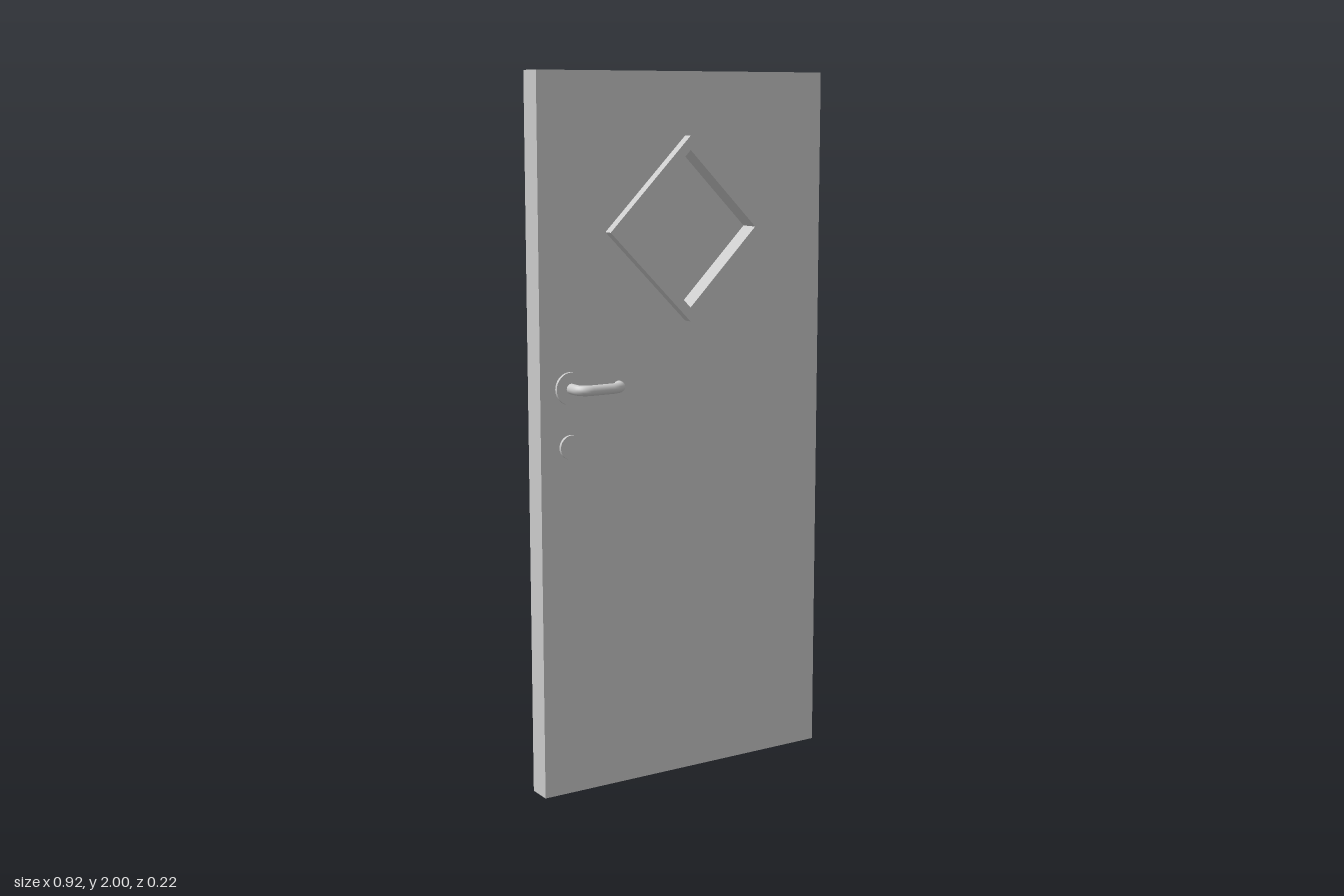
import * as THREE from 'three';

const MID = -0.0045;          // middle plane of the door leaf
const HALF = 0.035;           // half the leaf thickness
const WINDOW_Y = 1.57;
const LOCK_X = -0.371;
const mat = new THREE.MeshStandardMaterial({ color: 0xcccccc });

function add(parent, geometry, name) {
  const mesh = new THREE.Mesh(geometry, mat);
  mesh.name = name;
  parent.add(mesh);
  return mesh;
}

// Points of a diamond around the window centre
function diamond(r) {
  return [[0, -r], [r, 0], [0, r], [-r, 0]].map(([x, y]) => new THREE.Vector2(x, y + WINDOW_Y));
}

// Plate of a given thickness centred on the door's middle plane
function plate(points, depth, hole) {
  const shape = new THREE.Shape(points);
  if (hole) shape.holes.push(new THREE.Path(hole));
  return new THREE.ExtrudeGeometry(shape, { depth, bevelEnabled: false }).translate(0, 0, MID - depth / 2);
}

// Round disc standing on the door face of side s (1 front, -1 back)
function disc(radius, height, y, s) {
  return new THREE.CylinderGeometry(radius, radius, height, 32)
    .rotateX(Math.PI / 2)
    .translate(LOCK_X, y, MID + s * (HALF + height / 2));
}

// Lever: out of the rose, across, and curled back towards the door
function lever(s) {
  const group = new THREE.Group();
  group.name = s > 0 ? 'frontHandle' : 'backHandle';
  const y = 1.152, r = 0.0145;
  add(group, disc(0.045, 0.009, y, s), 'handleRose');
  const out = s * 0.0955, tipX = -0.2345, tipZ = s * 0.058;
  const p = (x, z) => new THREE.Vector3(x, y, z);
  const bend = (a, corner, b) => {
    const k = 0.552;
    return new THREE.CubicBezierCurve3(a, a.clone().lerp(corner, k), b.clone().lerp(corner, k), b);
  };
  const path = new THREE.CurvePath();
  const a = p(LOCK_X, s * 0.065), b = p(LOCK_X + 0.03, out);
  const c = p(tipX - 0.042, out), d = p(tipX, tipZ);
  path.add(new THREE.LineCurve3(p(LOCK_X, MID + s * HALF), a));
  path.add(bend(a, p(LOCK_X, out), b));
  path.add(new THREE.LineCurve3(b, c));
  path.add(bend(c, p(tipX, out), d));
  add(group, new THREE.TubeGeometry(path, 60, r, 16, false), 'leverBar');
  const cap = new THREE.CircleGeometry(r, 16);
  if (s > 0) cap.rotateY(Math.PI);
  add(group, cap.translate(tipX, y, tipZ), 'leverEnd');
  return group;
}

export function createModel() {
  const model = new THREE.Group();
  model.name = 'door';

  // Leaf with window opening
  const w = 0.462;
  const outline = [[-w, 0], [w, 0], [w, 2], [-w, 2]].map(([x, y]) => new THREE.Vector2(x, y));
  add(model, plate(outline, HALF * 2, diamond(0.237)), 'doorLeaf');

  // Diamond window
  add(model, plate(diamond(0.256), 0.127, diamond(0.217)), 'windowFrame');
  add(model, plate(diamond(0.22), 0.01), 'windowPane');

  // Handles and lock plates on both faces
  for (const s of [1, -1]) {
    model.add(lever(s));
    add(model, disc(0.034, 0.009, 0.99, s), s > 0 ? 'frontLockPlate' : 'backLockPlate');
  }

  // Thumb turn on the back: short stem with a tapered paddle
  const turn = new THREE.Group();
  turn.name = 'thumbTurn';
  add(turn, disc(0.014, 0.022, 0.988, -1), 'turnStem');
  const side = new THREE.Shape([[0.053, 1.0], [0.053, 0.978], [0.063, 0.957], [0.072, 0.957], [0.077, 0.978], [0.075, 1.0]]
    .map(([z, y]) => new THREE.Vector2(z, y)));
  const paddle = new THREE.ExtrudeGeometry(side, { depth: 0.012, bevelEnabled: false });
  paddle.translate(0, 0, -0.006).rotateY(Math.PI / 2).translate(LOCK_X, 0, 0);
  add(turn, paddle, 'turnPaddle');
  model.add(turn);

  return model;
}
